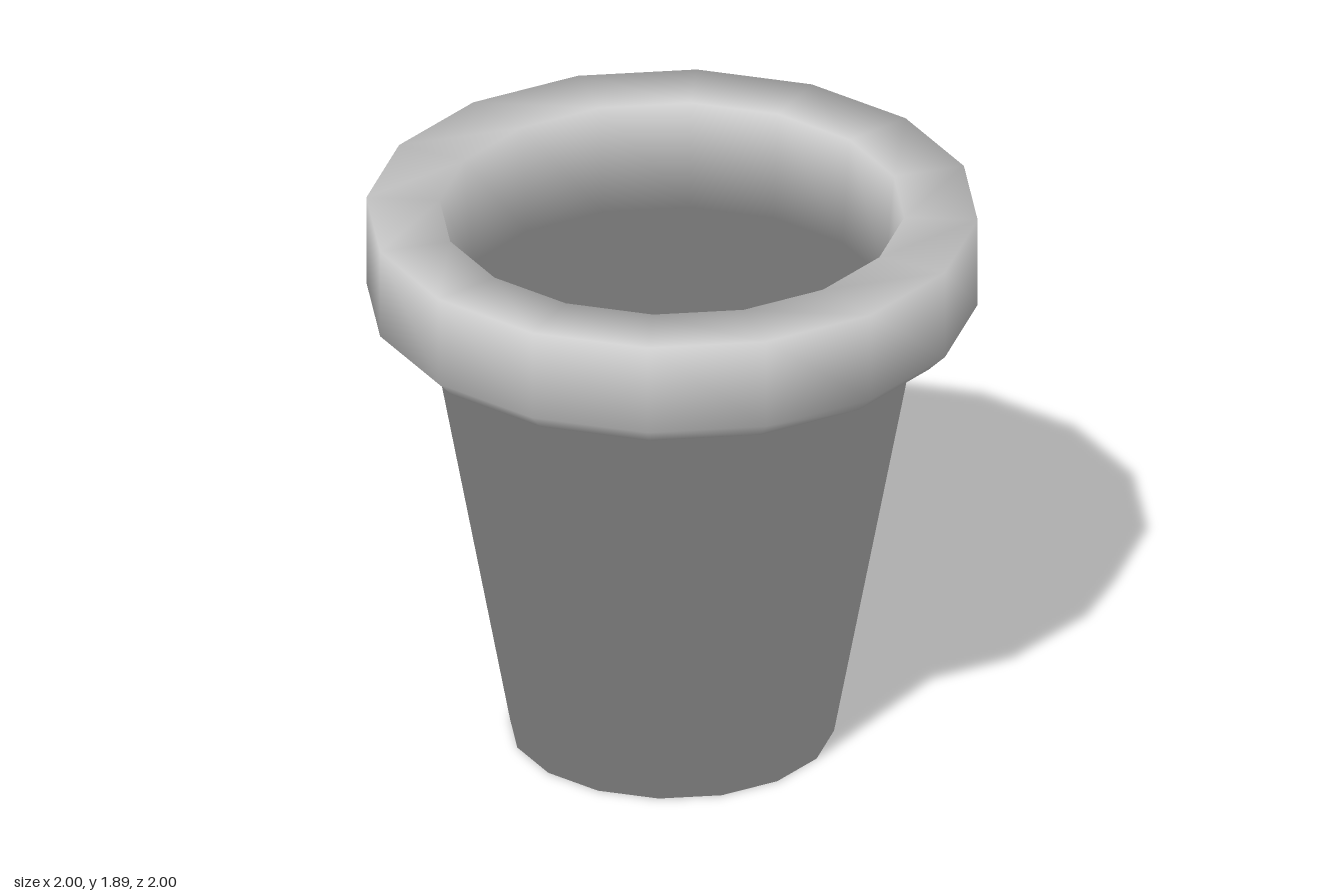
import * as THREE from 'three';

const SIDES = 16;

// Turns a closed [radius, height] profile round the y axis and rounds the
// shading at every corner, both neighbouring faces counting equally
function turnSmooth(profile) {
  const count = profile.length;
  const points = profile.map(([r, y]) => new THREE.Vector2(r, y));
  const faceNormals = points.map((p, i) => {
    const d = points[(i + 1) % count].clone().sub(p).normalize();
    return new THREE.Vector2(d.y, -d.x);
  });
  const cornerNormals = faceNormals.map((n, i) =>
    n.clone().add(faceNormals[(i + count - 1) % count]).normalize());

  const geometry = new THREE.LatheGeometry([...points, points[0]], SIDES);
  const normal = geometry.attributes.normal;
  for (let i = 0; i <= SIDES; i++) {
    const angle = (i / SIDES) * Math.PI * 2;
    for (let j = 0; j <= count; j++) {
      const n = cornerNormals[j % count];
      normal.setXYZ(i * (count + 1) + j, n.x * Math.sin(angle), n.y, n.x * Math.cos(angle));
    }
  }
  return geometry;
}

export function createModel() {
  const model = new THREE.Group();
  model.name = 'flowerPot';
  const clay = new THREE.MeshStandardMaterial({ color: 0xcccccc, side: THREE.DoubleSide });
  clay.name = 'paleGrey';

  const pot = new THREE.Mesh(turnSmooth([
    // outer wall, open at the bottom
    [0.53, 0], [0.81, 1.52],
    // thick collar with a bevelled lower edge
    [0.94, 1.52], [1, 1.58], [1, 1.89], [0.76, 1.89],
    // inner lip and the recess below it
    [0.73, 1.52], [0.775, 1.52],
    // inner wall down to the bottom edge
    [0.495, 0],
  ]), clay);
  pot.name = 'potBody';
  model.add(pot);

  return model;
}
